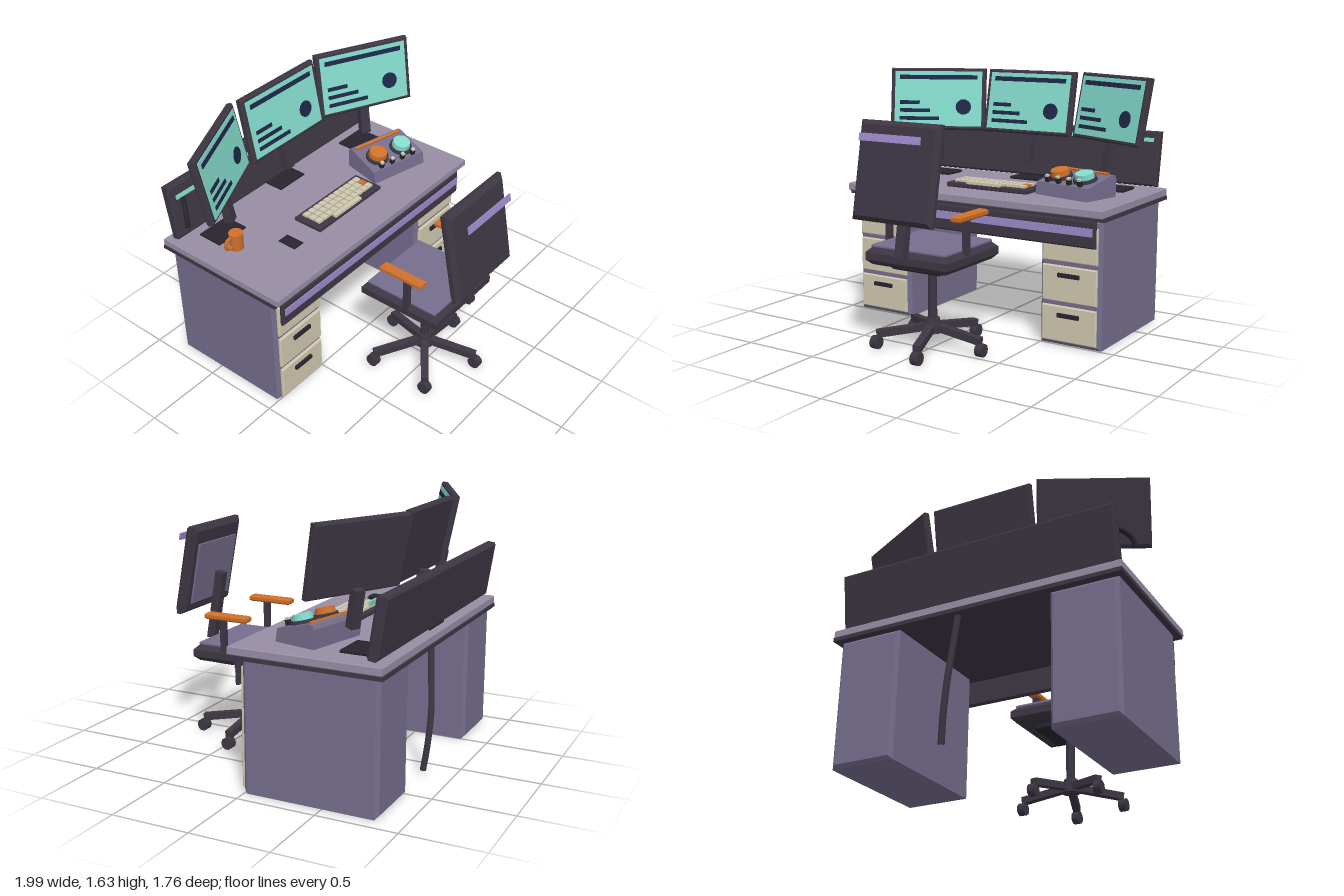
import * as THREE from 'three';

const mat = (name, color) => Object.assign(new THREE.MeshStandardMaterial({ color }), { name });

export function createModel() {
  const M = {
    desk: mat('pale lilac grey', 0x978da5), purple: mat('dusty purple', 0x756d8d),
    dark: mat('charcoal', 0x3d3643), black: mat('near black', 0x27242d),
    beige: mat('cream', 0xcfc7ae), orange: mat('orange', 0xcf702a),
    teal: mat('teal', 0x83dacb), navy: mat('navy', 0x1d2847), lilac: mat('lilac', 0x9c8aca),
  };
  const model = new THREE.Group();
  model.name = 'workstation';

  const add = (parent, name, geo, m, x = 0, y = 0, z = 0) => {
    const mesh = new THREE.Mesh(geo, m);
    mesh.name = name;
    mesh.position.set(x, y, z);
    parent.add(mesh);
    return mesh;
  };
  const group = (parent, name, x = 0, y = 0, z = 0) => {
    const g = new THREE.Group();
    g.name = name;
    g.position.set(x, y, z);
    g.rotation.order = 'YXZ';
    parent.add(g);
    return g;
  };
  const box = (w, h, d) => new THREE.BoxGeometry(w, h, d);
  // Box whose front and back rims are chamfered
  const chamfer = (w, h, d, b) => {
    const x = w / 2 - b, y = h / 2 - b;
    const s = new THREE.Shape([[-x, -y], [x, -y], [x, y], [-x, y]].map(p => new THREE.Vector2(...p)));
    const g = new THREE.ExtrudeGeometry(s, { depth: d - 2 * b, bevelSize: b, bevelThickness: b, bevelSegments: 1 });
    return g.translate(0, 0, b - d / 2);
  };
  // Same, with the chamfers on the top and bottom rims
  const slab = (w, h, d, b) => chamfer(w, d, h, b).rotateX(-Math.PI / 2);
  const tube = (pts, r) => new THREE.TubeGeometry(
    new THREE.CatmullRomCurve3(pts.map(p => new THREE.Vector3(...p))), 16, r, 8);

  // Desk
  const desk = group(model, 'desk');
  add(desk, 'deskTop', slab(1.89, 0.052, 0.95, 0.006), M.desk, 0, 0.861, -0.395);
  add(desk, 'deskUnderlay', box(1.895, 0.024, 0.93), M.dark, 0, 0.824, -0.41);
  add(desk, 'apron', chamfer(1.78, 0.168, 0.035, 0.01), M.dark, 0, 0.73, 0.047);
  add(desk, 'apronStripe', box(1.75, 0.05, 0.008), M.lilac, 0, 0.745, 0.067);
  for (const side of [-1, 1]) {
    const ped = group(desk, 'drawerPedestal', side * 0.704, 0, 0);
    add(ped, 'pedestalBody', chamfer(0.415, 0.812, 0.85, 0.022), M.purple, 0, 0.408, -0.418);
    for (let i = 0; i < 3; i++) {
      const y = 0.143 + i * 0.253;
      add(ped, 'drawerFront', chamfer(0.37, 0.225, 0.026, 0.006), M.beige, 0, y, 0.012);
      add(ped, 'drawerHandle', box(0.145, 0.025, 0.018), M.black, 0, y + 0.057, 0.032);
    }
  }
  add(desk, 'floorCable', tube([[0.1, 0.82, -0.82], [0.12, 0.6, -0.835], [0.14, 0.4, -0.848], [0.165, 0.18, -0.838],
    [0.18, 0.03, -0.82]], 0.02), M.dark);

  // Tilted screen behind the desk top
  const panel = group(desk, 'backPanel', 0, 1.08, -0.82);
  panel.rotation.x = -0.15;
  add(panel, 'panelBoard', chamfer(1.82, 0.36, 0.068, 0.012), M.dark);
  add(panel, 'panelStrip', box(1.78, 0.026, 0.008), M.teal, 0, 0.12, 0.073);
  add(desk, 'panelCable', tube([[-0.94, 1.08, -0.63], [-0.925, 1.14, -0.65], [-0.88, 1.175, -0.71],
    [-0.82, 1.18, -0.79]], 0.015), M.black);

  // Three monitors, the outer ones turned inwards
  for (const s of [-1, 0, 1]) {
    const z = s ? -0.594 : -0.715;
    add(model, 'monitorBase', slab(0.23, 0.02, 0.17, 0.005), M.black, s * 0.67, 0.896, s ? -0.63 : -0.735);
    const mon = group(model, 'monitor', s * 0.67, 1.413, z);
    mon.rotation.set(-0.19, -s * 0.45, 0);
    add(mon, 'monitorCase', chamfer(0.67, 0.432, 0.05, 0.01), M.dark);
    add(mon, 'monitorPost', box(0.065, 0.23, 0.055), M.dark, 0, -0.295, -0.045);
    add(mon, 'screen', box(0.615, 0.385, 0.008), M.teal, 0, 0, 0.026);
    add(mon, 'screenHeader', box(0.55, 0.03, 0.006), M.navy, 0, 0.15, 0.031);
    [0.14, 0.215, 0.28].forEach((w, i) =>
      add(mon, 'screenLine', box(w, 0.025, 0.006), M.navy, -0.27 + w / 2, -0.027 - i * 0.056, 0.031));
    add(mon, 'screenDisc', new THREE.CylinderGeometry(0.054, 0.054, 0.006, 16).rotateX(Math.PI / 2),
      M.navy, 0.18, -0.057, 0.031);
  }

  // Keyboard
  const kb = group(model, 'keyboard', 0, 0.887, -0.255);
  add(kb, 'keyboardBody', slab(0.605, 0.032, 0.21, 0.006), M.dark, 0, 0.016, 0);
  for (let r = 0; r < 3; r++) for (let c = 0; c < 11; c++)
    add(kb, 'key', box(0.04, 0.018, 0.04), r === 1 && c === 10 ? M.orange : M.beige,
      (c - 5) * 0.049, 0.038, (r - 1) * 0.05 - 0.002);
  add(kb, 'spaceBar', box(0.256, 0.018, 0.03), M.beige, -0.022, 0.038, 0.09);

  add(model, 'mouse', slab(0.08, 0.03, 0.13, 0.012), M.black, -0.493, 0.9, -0.222);

  // Mug
  const mug = group(model, 'mug', -0.727, 0.887, -0.455);
  add(mug, 'mugBody', new THREE.CylinderGeometry(0.046, 0.043, 0.115, 10), M.orange, 0, 0.057, 0);
  add(mug, 'mugHandle', new THREE.TorusGeometry(0.036, 0.012, 6, 12), M.orange, -0.054, 0.06, 0);

  // Wedge-shaped control box with dials and levers
  const con = group(model, 'controlBox', 0.567, 0.887, -0.307);
  con.rotation.y = -0.23;
  const wedge = new THREE.Shape([[-0.14, 0], [0.143, 0], [0.13, 0.08], [-0.1, 0.14], [-0.13, 0.138], [-0.143, 0.115]]
    .map(p => new THREE.Vector2(...p)));
  add(con, 'controlBody', new THREE.ExtrudeGeometry(wedge, { depth: 0.42, bevelEnabled: false })
    .rotateY(-Math.PI / 2).scale(1, 1, 1).translate(0.21, 0, 0), M.purple);
  const face = group(con, 'controlFace', 0, 0.11, 0.015);
  face.rotation.x = 0.255;
  for (const s of [-1, 1]) {
    add(face, 'dialBase', new THREE.CylinderGeometry(0.074, 0.078, 0.02, 16), M.dark, s * 0.1, 0.01, 0.01);
    add(face, 'dial', new THREE.CylinderGeometry(0.058, 0.062, 0.035, 16), s < 0 ? M.orange : M.teal, s * 0.1, 0.036, 0.01);
  }
  add(face, 'controlStrip', box(0.37, 0.012, 0.018), M.orange, 0, 0.006, -0.116);
  for (let i = 0; i < 4; i++) {
    const x = (i - 1.5) * 0.088;
    add(face, 'lever', box(0.026, 0.035, 0.026), M.black, x, 0.016, 0.098);
    add(face, 'leverTip', box(0.022, 0.014, 0.022), M.beige, x, 0.04, 0.098);
  }

  // Office chair, facing the desk
  const chair = group(model, 'chair', 0, 0, 0.457);
  for (let i = 0; i < 5; i++) {
    const a = 0.3 + i * Math.PI * 0.4, arm = group(chair, 'chairLeg');
    arm.rotation.y = -a;
    add(arm, 'legBar', box(0.048, 0.045, 0.33), M.dark, 0, 0.117, -0.18).rotation.x = -0.13;
    add(chair, 'caster', new THREE.CylinderGeometry(0.041, 0.041, 0.048, 10).rotateZ(Math.PI / 2), M.dark,
      Math.sin(a) * 0.345, 0.041, -Math.cos(a) * 0.345);
  }
  add(chair, 'chairHub', new THREE.CylinderGeometry(0.045, 0.06, 0.09, 10), M.dark, 0, 0.145, 0);
  add(chair, 'chairColumn', new THREE.CylinderGeometry(0.029, 0.029, 0.36, 10), M.dark, 0, 0.34, 0);
  add(chair, 'seatPlate', slab(0.35, 0.035, 0.35, 0.008), M.black, 0, 0.524, 0);
  add(chair, 'seatCushion', slab(0.585, 0.105, 0.565, 0.03), M.dark, 0, 0.594, -0.004);
  add(chair, 'seatPad', slab(0.53, 0.022, 0.51, 0.006), M.purple, 0, 0.654, -0.004);
  for (const s of [-1, 1]) {
    add(chair, 'armPost', box(0.035, 0.22, 0.036), M.dark, s * 0.28, 0.735, 0.053);
    add(chair, 'armRest', slab(0.068, 0.04, 0.305, 0.01), M.orange, s * 0.282, 0.856, 0.02);
  }
  add(chair, 'backSupport', box(0.06, 0.46, 0.056), M.dark, 0, 0.853, 0.276).rotation.x = -0.17;
  const back = group(chair, 'backRest', 0, 1.125, 0.337);
  back.rotation.x = -0.19;
  add(back, 'backShell', chamfer(0.565, 0.585, 0.08, 0.028), M.dark);
  add(back, 'backPad', box(0.44, 0.4, 0.02), M.purple, 0, -0.02, -0.042);
  add(back, 'backStripe', box(0.425, 0.045, 0.009), M.lilac, 0, 0.187, 0.112);

  return model;
}
